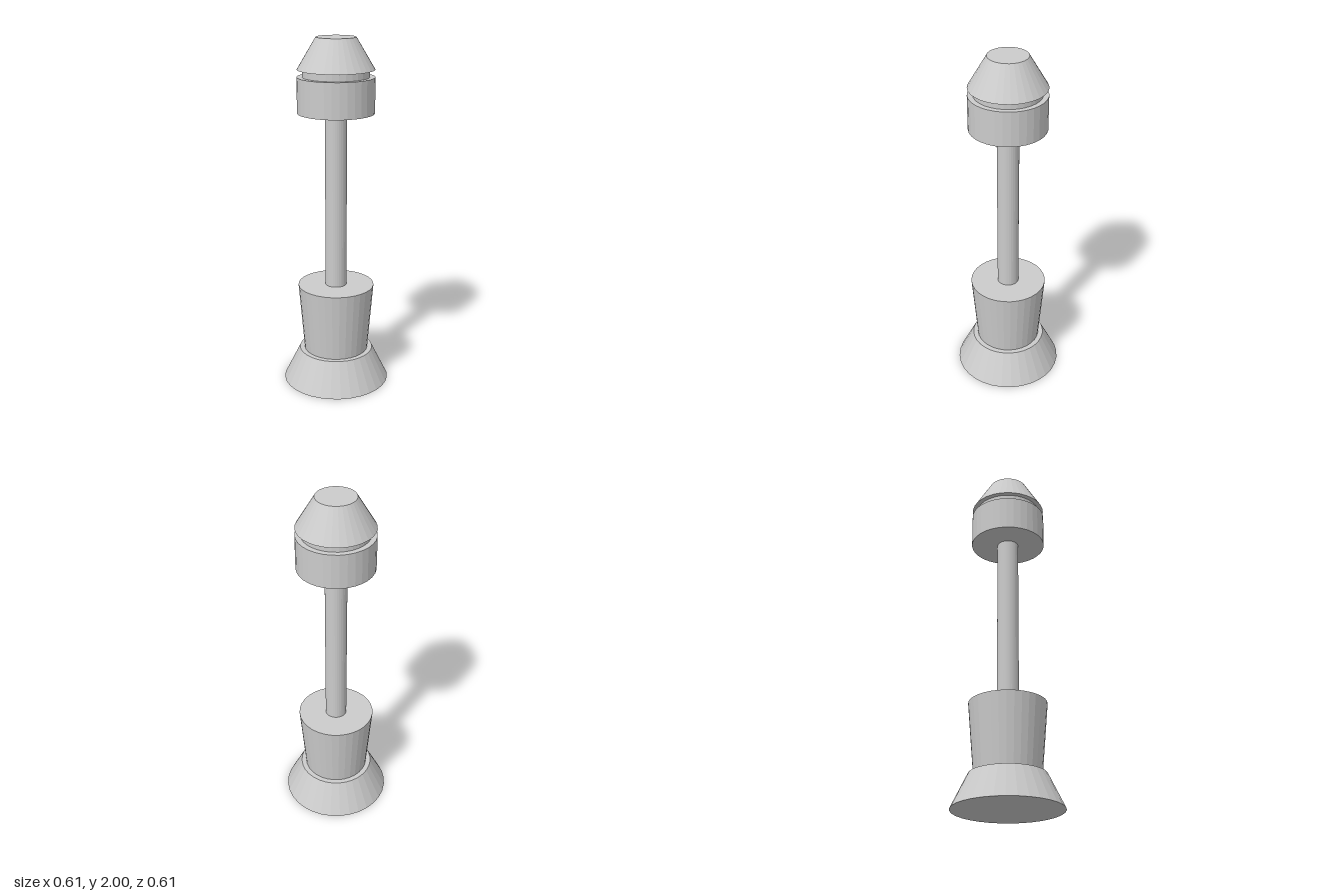
import * as THREE from 'three';

const material = new THREE.MeshStandardMaterial({ color: 0xcccccc, flatShading: true });

// Name, bottom y, top y, bottom radius, top radius
const PARTS = [
  ['base', 0, 0.19, 0.306, 0.213],
  ['lowerCup', 0.19, 0.587, 0.185, 0.218],
  ['stem', 0.587, 1.59, 0.061, 0.061],
  ['collar', 1.59, 1.787, 0.214, 0.214],
  ['neck', 1.787, 1.827, 0.185, 0.185],
  ['cap', 1.827, 2, 0.213, 0.11],
];

export function createModel() {
  const model = new THREE.Group();
  model.name = 'turnedPost';

  // Stacked faceted cylinders and cones on one axis
  for (const [name, y0, y1, rBottom, rTop] of PARTS) {
    const mesh = new THREE.Mesh(new THREE.CylinderGeometry(rTop, rBottom, y1 - y0, 32), material);
    mesh.name = name;
    mesh.position.y = (y0 + y1) / 2;
    model.add(mesh);
  }
  return model;
}
